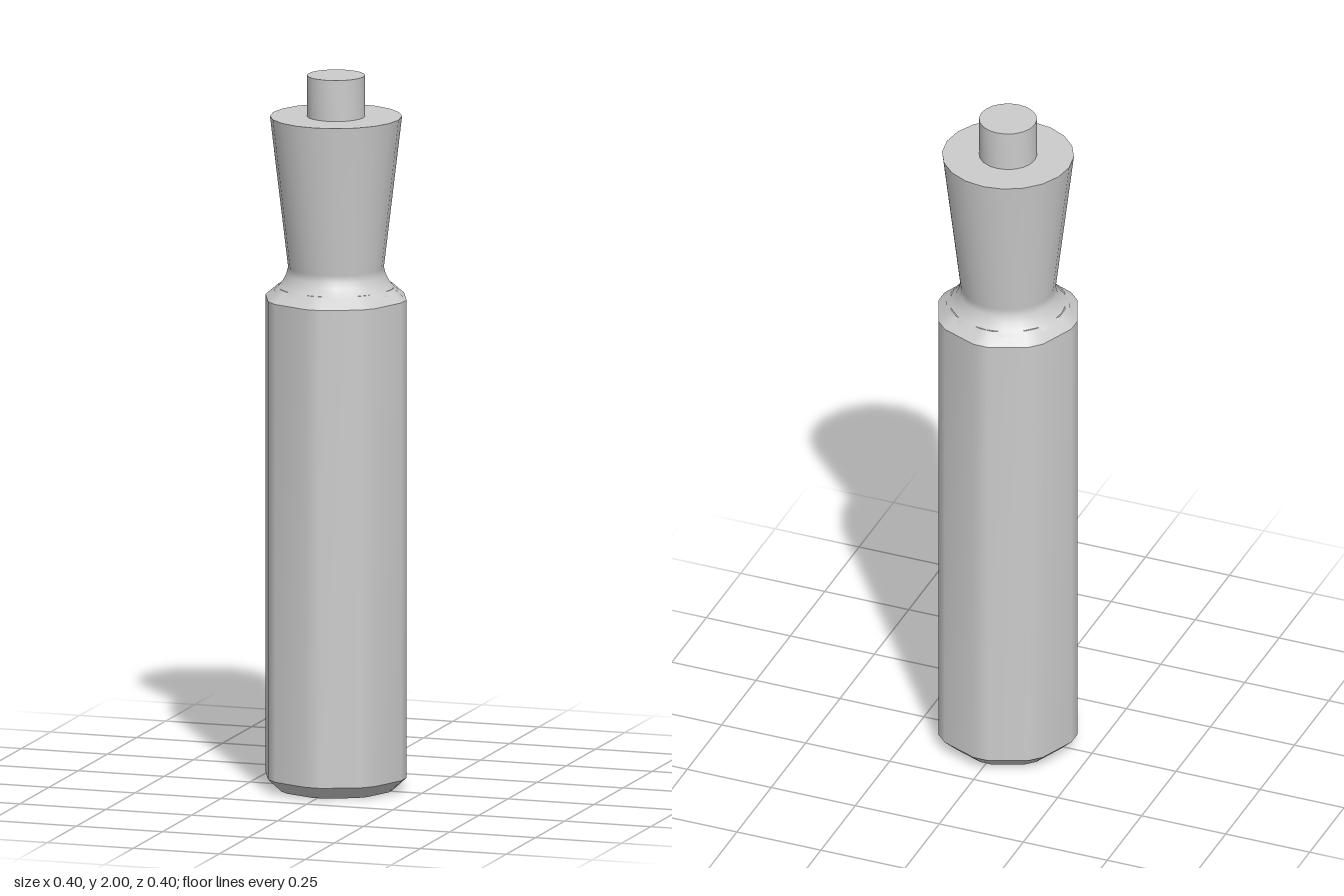
import * as THREE from 'three';
import { mergeVertices, mergeGeometries } from 'three/addons/utils/BufferGeometryUtils.js';

const material = new THREE.MeshStandardMaterial({ color: 0xcccccc });

// Smooth around the ring, sharp wherever two bands meet
function smoothBand(geometry) {
  geometry.deleteAttribute('uv');
  geometry.deleteAttribute('normal');
  const merged = mergeVertices(geometry, 1e-5);
  merged.computeVertexNormals();
  return merged;
}

// Octagonal band with narrow bevels along its eight corners
function octagonBand(r0, y0, r1, y1) {
  const geo = new THREE.CylinderGeometry(r1, r0, y1 - y0, 16, 1, true, Math.PI / 16);
  geo.translate(0, (y0 + y1) / 2, 0);
  const p = geo.attributes.position;
  const bevel = THREE.MathUtils.degToRad(6.3);
  for (let i = 0; i < p.count; i++) {
    const x = p.getX(i), z = p.getZ(i), r = Math.hypot(x, z);
    const a = Math.atan2(x, z);
    const corner = Math.round(a / (Math.PI / 4)) * Math.PI / 4;
    const b = corner + Math.sign(a - corner) * bevel;
    p.setXYZ(i, r * Math.sin(b), p.getY(i), r * Math.cos(b));
  }
  return smoothBand(geo);
}

// Round band or disc turned from a profile of [radius, height]
function turned(points) {
  return smoothBand(new THREE.LatheGeometry(points.map(([r, y]) => new THREE.Vector2(r, y)), 20));
}

function addPart(group, name, bands) {
  const mesh = new THREE.Mesh(mergeGeometries(bands), material);
  mesh.name = name;
  group.add(mesh);
}

export function createModel() {
  const group = new THREE.Group();
  group.name = 'handle';

  // Long octagonal grip, chamfered at both ends
  addPart(group, 'grip', [
    octagonBand(0.001, 0, 0.16, 0).scale(1, 1, 1),
    octagonBand(0.16, 0, 0.199, 0.036),
    octagonBand(0.199, 0.036, 0.199, 1.377),
    octagonBand(0.199, 1.377, 0.163, 1.408),
    octagonBand(0.163, 1.408, 0.001, 1.408),
  ].map((band, i) => (i === 0 ? flip(band) : band)));

  // Waisted neck flaring up to a flat collar
  addPart(group, 'neck', [
    turned([[0.172, 1.398], [0.156, 1.412], [0.145, 1.427], [0.137, 1.443], [0.132, 1.462], [0.182, 1.885]]),
    turned([[0.182, 1.885], [0, 1.885]]),
  ]);

  // Small pin on top
  addPart(group, 'pin', [
    turned([[0.08, 1.88], [0.08, 2]]),
    turned([[0.08, 2], [0, 2]]),
  ]);
  return group;
}

// Makes the bottom disc face downward whatever its winding
function flip(geo) {
  if (geo.attributes.normal.getY(0) > 0) {
    geo.index.array.reverse();
    geo.computeVertexNormals();
  }
  return geo;
}
